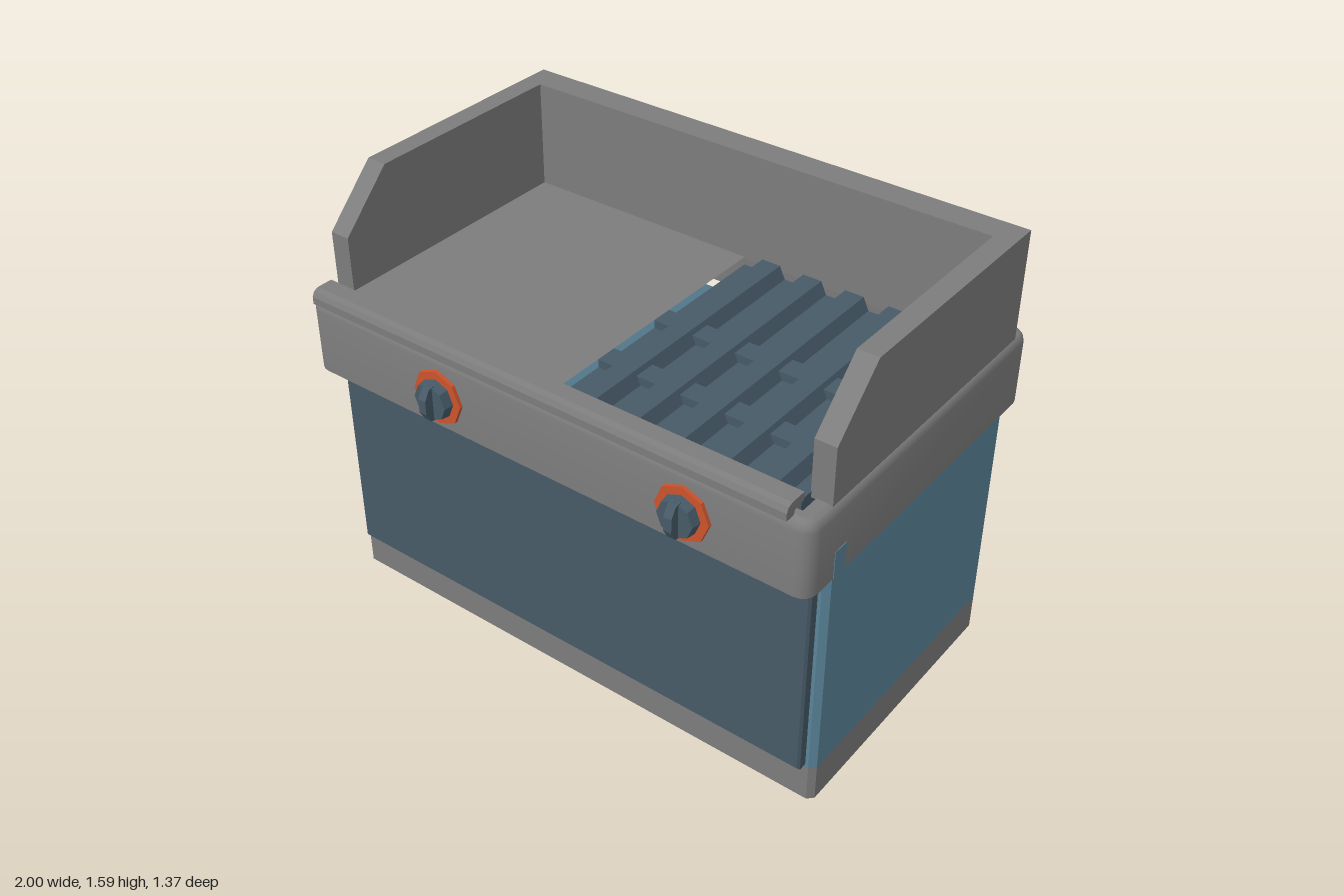
import * as THREE from 'three';
import { toCreasedNormals } from 'three/addons/utils/BufferGeometryUtils.js';

const mat = (name, color) => {
  const m = new THREE.MeshStandardMaterial({ color, side: THREE.DoubleSide });
  m.name = name;
  return m;
};

// Rectangle outline with rounded corners, as [x, z] points
function outline(hx, hz, r, segs) {
  const pts = [];
  [[1, 1], [-1, 1], [-1, -1], [1, -1]].forEach(([sx, sz], q) => {
    for (let i = 0; i <= segs; i++) {
      const a = (q + i / segs) * Math.PI / 2;
      pts.push([sx * (hx - r) + r * Math.cos(a), sz * (hz - r) + r * Math.sin(a)]);
    }
  });
  return pts;
}

// Open shell stacked from outlines; rows hold [inset, y]
function shell(hx, hz, cz, r, segs, rows) {
  const pos = [], index = [], n = 4 * (segs + 1);
  for (const [inset, y] of rows)
    for (const [x, z] of outline(hx - inset, hz - inset, r - inset, segs)) pos.push(x, y, z + cz);
  for (let k = 0; k < rows.length - 1; k++)
    for (let i = 0; i < n; i++) {
      const a = k * n + i, b = k * n + (i + 1) % n;
      index.push(a, a + n, b, b, a + n, b + n);
    }
  const g = new THREE.BufferGeometry();
  g.setAttribute('position', new THREE.Float32BufferAttribute(pos, 3));
  g.setIndex(index);
  return toCreasedNormals(g, Math.PI / 5);
}

const shapeOf = pts => new THREE.Shape(pts.map(p => new THREE.Vector2(...p)));

// Side profile of [z, y] points extruded from x0 to x1
function sideProfile(pts, x0, x1) {
  const g = new THREE.ExtrudeGeometry(shapeOf(pts.map(([z, y]) => [-z, y])), { depth: x1 - x0, bevelEnabled: false });
  return g.rotateY(Math.PI / 2).translate(x0, 0, 0);
}

// Box given by its limits
function block(x0, x1, y0, y1, z0, z1) {
  return new THREE.BoxGeometry(x1 - x0, y1 - y0, z1 - z0)
    .translate((x0 + x1) / 2, (y0 + y1) / 2, (z0 + z1) / 2);
}

export function createModel() {
  const root = new THREE.Group();
  root.name = 'griddleRange';
  const steel = mat('steelGrey', 0x7c7c7c);
  const blue = mat('panelBlue', 0x5a8599);
  const dark = mat('darkBlue', 0x465a67);
  const orange = mat('orange', 0xcc532c);
  const add = (name, geo, material, parent = root) => {
    const m = new THREE.Mesh(geo, material);
    m.name = name;
    parent.add(m);
    return m;
  };

  // Cabinet, open underneath
  add('plinth', shell(0.995, 0.53, -0.04, 0.02, 1, [[0, 0], [0, 0.14]]), steel);
  add('cabinet', shell(0.995, 0.53, -0.04, 0.02, 1, [[0, 0.14], [0, 0.98]]), blue);
  add('sideTab', block(0.994, 1.0, 0.93, 1.03, 0.41, 0.47), blue);

  // Front door with a thin bevel
  const door = new THREE.ExtrudeGeometry(
    shapeOf([[-0.945, 0.16], [0.955, 0.16], [0.955, 0.88], [-0.945, 0.88]]),
    { depth: 0.03, bevelSize: 0.008, bevelThickness: 0.008, bevelSegments: 1 });
  add('door', door.translate(0, 0, 0.49), dark);

  // Worktop housing with rounded upper edge
  add('housing', shell(0.998, 0.645, -0.04, 0.05, 4,
    [[0, 0.93], [0, 1.165], [0.004, 1.182], [0.014, 1.195], [0.03, 1.2]]), steel);
  const top = shapeOf(outline(0.968, 0.615, 0.02, 4).map(([x, z]) => [x, -(z - 0.04)]));
  top.holes.push(shapeOf([[0, 0.63], [0.93, 0.63], [0.93, -0.55], [0, -0.55]]));
  add('griddleTop', new THREE.ShapeGeometry(top).rotateX(-Math.PI / 2).translate(0, 1.2, 0), steel);

  // Splash guard
  add('backGuard', block(-0.91, 0.91, 1.195, 1.593, -0.605, -0.5), steel);
  const guard = [[-0.605, 1.195], [0.48, 1.195], [0.48, 1.4], [0.285, 1.593], [-0.605, 1.593]];
  add('leftGuard', sideProfile(guard, 0.91, 0.985), steel);
  add('rightGuard', sideProfile(guard, -0.985, -0.91), steel);

  // Front rail, hooked in section
  add('frontRail', sideProfile([[0.53, 1.22], [0.53, 1.25], [0.59, 1.25], [0.608, 1.243],
    [0.617, 1.225], [0.617, 1.198], [0.58, 1.198], [0.575, 1.215]], -0.96, 0.92), steel);

  // Grill: pan, long bars and lower cross bars
  const grill = new THREE.Group();
  grill.name = 'grill';
  root.add(grill);
  add('grillPan', block(0, 0.91, 1.15, 1.17, -0.5, 0.53), dark, grill);
  for (let i = 0; i < 5; i++) {
    const x = 0.11 + i * 0.167;
    const bar = shapeOf([[x - 0.04, 1.165], [x + 0.06, 1.165], [x + 0.036, 1.216], [x - 0.036, 1.216]]);
    add('grillBar', new THREE.ExtrudeGeometry(bar, { depth: 1.03, bevelEnabled: false }).translate(0, 0, -0.5), dark, grill);
  }
  add('grillEdge', block(0.9, 0.912, 1.165, 1.216, -0.5, 0.53), dark, grill);
  for (const z of [-0.065, 0.225]) add('crossBar', block(0, 0.91, 1.165, 1.2, z, z + 0.08), dark, grill);

  // Control knobs
  for (const x of [-0.415, 0.56]) {
    const knob = new THREE.Group();
    knob.name = 'knob';
    knob.position.set(x, 1.05, 0);
    root.add(knob);
    const disc = (r0, r1, z0, z1) => new THREE.CylinderGeometry(r1, r0, z1 - z0, 8).toNonIndexed()
      .rotateX(Math.PI / 2).translate(0, 0, (z0 + z1) / 2);
    const flat = g => { g.computeVertexNormals(); return g; };
    add('knobRing', flat(disc(0.1, 0.1, 0.6, 0.618)), orange, knob);
    add('knobBody', flat(disc(0.072, 0.066, 0.61, 0.652)), dark, knob);
    add('knobGrip', sideProfile([[0.64, -0.065], [0.665, -0.06], [0.685, -0.025],
      [0.685, 0.025], [0.665, 0.06], [0.64, 0.065]], -0.015, 0.015), dark, knob);
  }
  return root;
}
